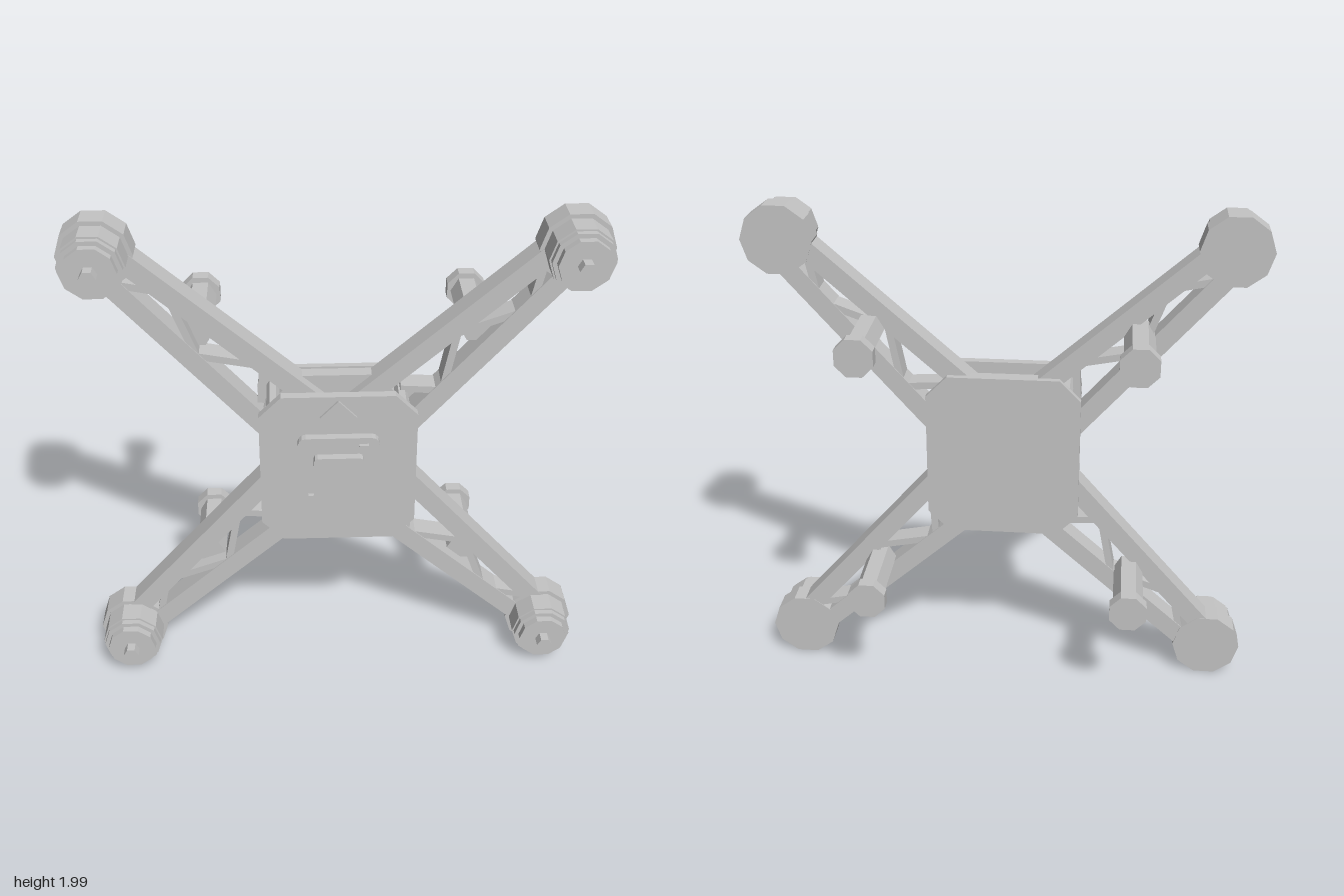
import * as THREE from 'three';

const frameGrey = new THREE.MeshStandardMaterial({ color: 0xc4c4c4, flatShading: true });
frameGrey.name = 'frameGrey';

function add(parent, name, geometry) {
  const mesh = new THREE.Mesh(geometry, frameGrey);
  mesh.name = name;
  parent.add(mesh);
  return mesh;
}

// Prism along z, first corner turned by start
function prism(parent, name, r, sides, x, y, z0, z1, start = Math.PI / 2) {
  const g = new THREE.CylinderGeometry(r, r, z1 - z0, sides, 1, false, start);
  g.rotateX(Math.PI / 2);
  g.translate(x, y, (z0 + z1) / 2);
  return add(parent, name, g);
}

// Straight bar in the xy plane
function bar(parent, name, [ax, ay], [bx, by], width, z0, z1) {
  const g = new THREE.BoxGeometry(Math.hypot(bx - ax, by - ay), width, z1 - z0);
  g.rotateZ(Math.atan2(by - ay, bx - ax));
  g.translate((ax + bx) / 2, (ay + by) / 2, (z0 + z1) / 2);
  return add(parent, name, g);
}

// Flat outline pushed out from z0 to z1
function slab(parent, name, points, z0, z1) {
  const shape = new THREE.Shape(points.map(([x, y]) => new THREE.Vector2(x, y)));
  const g = new THREE.ExtrudeGeometry(shape, { depth: z1 - z0, bevelEnabled: false });
  g.translate(0, 0, z0);
  return add(parent, name, g);
}

// Rectangle with cut corners; more steps round them
function cutRect(w, h, c, steps = 1) {
  const pts = [];
  [[1, 1], [-1, 1], [-1, -1], [1, -1]].forEach(([sx, sy], k) => {
    for (let i = 0; i <= steps; i++) {
      const a = (k + i / steps) * Math.PI / 2;
      pts.push([sx * (w - c) + c * Math.cos(a), sy * (h - c) + c * Math.sin(a)]);
    }
  });
  return pts;
}

export function createModel() {
  const model = new THREE.Group();
  model.name = 'quadcopterFrame';
  const frame = new THREE.Group();
  frame.name = 'frame';
  frame.position.y = 0.993;
  model.add(frame);

  // Central plates
  slab(frame, 'backPlate', cutRect(0.305, 0.338, 0.085), -0.01, 0.015);
  slab(frame, 'spacerPlate', cutRect(0.295, 0.33, 0.15), 0.015, 0.068);
  slab(frame, 'frontPlate', cutRect(0.3, 0.328, 0.085), 0.188, 0.224);

  // Electronics and heading arrow on the front plate
  slab(frame, 'controllerBoard', cutRect(0.155, 0.165, 0.03, 3), 0.224, 0.256);
  slab(frame, 'controllerChip', cutRect(0.095, 0.095, 0.015, 2), 0.256, 0.288);
  for (const [x, y] of [[0.096, 0.122], [-0.1, -0.104]]) {
    const g = new THREE.BoxGeometry(0.035, 0.035, 0.014);
    g.translate(x, y, 0.263);
    add(frame, 'smallChip', g);
  }
  slab(frame, 'headingArrow', [[0, 0.315], [-0.07, 0.242], [0, 0.266], [0.07, 0.242]], 0.224, 0.235);

  // Truss zigzag of one arm, from motor to body
  const nodes = [[-0.79, 0.745], [-0.62, 0.71], [-0.525, 0.447], [-0.28, 0.4], [-0.29, 0.24]];

  for (let k = 0; k < 4; k++) {
    const arm = new THREE.Group();
    arm.name = 'arm';
    arm.rotation.z = k * Math.PI / 2;
    frame.add(arm);
    bar(arm, 'upperBeam', [-0.82, 0.885], [-0.065, 0.22], 0.075, 0.017, 0.115);
    bar(arm, 'lowerBeam', [-0.885, 0.82], [-0.22, 0.065], 0.075, 0.017, 0.115);
    for (let i = 0; i < nodes.length - 1; i++) {
      bar(arm, 'trussStrut', nodes[i], nodes[i + 1], 0.028, 0.022, 0.11);
    }
  }

  for (const sx of [-1, 1]) {
    for (const sy of [-1, 1]) {
      // Motor, stepped towards the shaft
      const mx = sx * 0.861, my = sy * 0.861;
      prism(frame, 'motorMount', 0.139, 10, mx, my, 0.015, 0.112);
      prism(frame, 'motorBell', 0.122, 10, mx, my, 0.112, 0.205);
      prism(frame, 'motorRim', 0.115, 10, mx, my, 0.205, 0.228);
      prism(frame, 'motorCap', 0.098, 10, mx, my, 0.228, 0.257);
      prism(frame, 'motorShaft', 0.031, 6, mx, my, 0.257, 0.3);

      // Rear leg with a wider foot
      const lx = sx * 0.52, ly = sy * 0.52;
      prism(frame, 'leg', 0.06, 6, lx, ly, -0.25, 0.06);
      prism(frame, 'foot', 0.079, 8, lx, ly, -0.3, -0.25, Math.PI / 8);

      // Post carrying the front plate
      prism(frame, 'standoff', 0.025, 6, sx * 0.245, sy * 0.262, 0.015, 0.19);
    }
  }
  return model;
}
